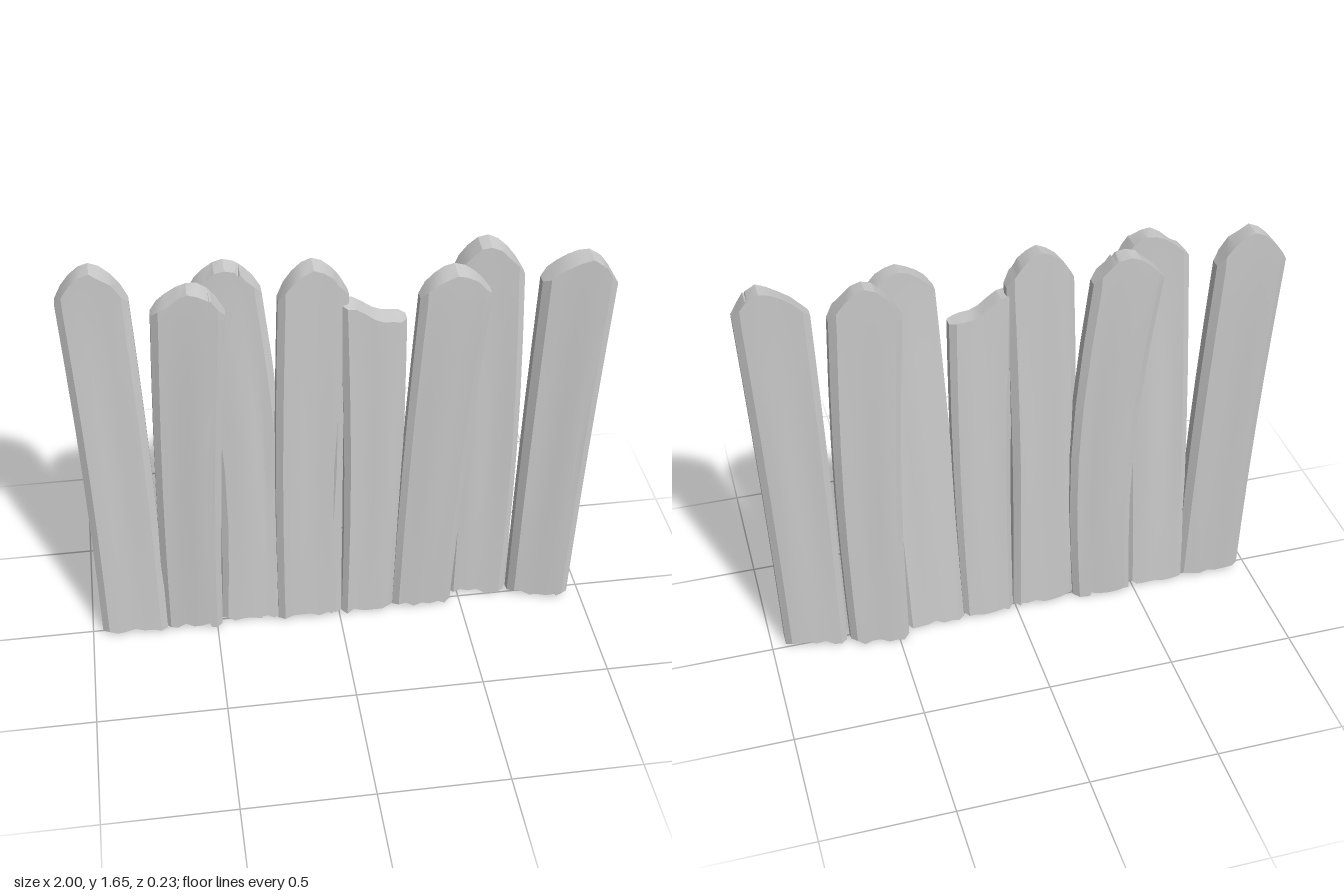
import * as THREE from 'three';
import { toCreasedNormals } from 'three/addons/utils/BufferGeometryUtils.js';

// x: left edge at foot and shoulder, bow: sideways bend at mid height, w: width at foot and shoulder,
// z: centre depth at foot and shoulder, yaw: depth change across the width,
// peak: place (0 to 1 across) and height of the tip; a plank without a peak is broken off
const PLANKS = [
  { x: [-0.96, -1.0], bow: 0.01, w: [0.26, 0.26], z: [0, -0.065], yaw: 0.02, peak: [0.5, 1.66] },
  { x: [-0.71, -0.67], bow: -0.01, w: [0.23, 0.26], z: [0, 0.062], yaw: 0.03, peak: [0.6, 1.63], crack: 0.8 },
  { x: [-0.48, -0.53], bow: 0.045, w: [0.235, 0.26], z: [-0.01, -0.068], yaw: 0.02, peak: [0.52, 1.635], crack: 0.7 },
  { x: [-0.25, -0.22], bow: -0.01, w: [0.26, 0.255], z: [0.01, 0.01], yaw: -0.01, peak: [0.5, 1.66], crack: 0.85 },
  { x: [0.01, 0], bow: 0.013, w: [0.21, 0.245], z: [0.005, 0.015], yaw: -0.01 },
  { x: [0.22, 0.28], bow: -0.008, w: [0.24, 0.26], z: [0, 0.067], yaw: 0 , peak: [0.5, 1.63] },
  { x: [0.46, 0.43], bow: 0.018, w: [0.23, 0.255], z: [-0.04, -0.062], yaw: 0.03, peak: [0.48, 1.66] },
  { x: [0.705, 0.735], bow: -0.005, w: [0.24, 0.265], z: [0.01, 0.04], yaw: 0.045, peak: [0.62, 1.635], crack: 0.8 },
];
const HALF = 0.039;
const SHOULDER = 1.53;
const { lerp } = THREE.MathUtils;

function seeded(seed) {
  let s = seed * 7919 + 17;
  return () => (s = (s * 16807) % 2147483647) / 2147483647;
}

// height of the upper end: a rounded point, or a ragged downward slope
function topHeight(p, u) {
  if (!p.peak) return 1.5 - 0.1 * u + 0.012 * Math.sin(8 * u);
  const [at, height] = p.peak;
  const d = u < at ? (at - u) / at : (u - at) / (1 - at);
  return height - (height - SHOULDER) * d ** 1.8;
}

function plankGeometry(p, index) {
  const rand = seeded(index + 1);
  const us = [0, 0.1, 0.22, 0.36, 0.5, 0.64, 0.78, 0.9, 1];
  if (p.crack) {
    us.push(p.crack - 0.012, p.crack + 0.012);
    us.sort((a, b) => a - b);
  }
  const n = us.length;
  const neck = p.peak ? SHOULDER - 0.02 : 1.38;
  const rows = [0, 0.25, 0.5, 0.75, 1, 1.25, neck, SHOULDER];
  const last = rows.length - 1;
  const foot = us.map(() => [0.01 + rand() * 0.025, 0.005 + rand() * 0.025]);
  const chip = us.map(() => rand() * 0.014);

  // point on the front (side 0) or back (side 1) face
  function point(r, c, side) {
    const u = us[c], end = c === 0 || c === n - 1;
    let y = rows[r];
    if (r === 0) y = foot[c][side];
    if (r === last) y = topHeight(p, u) - (side === 0 && !end ? chip[c] : 0);
    const t = Math.min(y / SHOULDER, 1);
    const left = lerp(...p.x, t) + p.bow * Math.sin(t * Math.PI);
    const z = lerp(...p.z, t) + p.yaw * (u - 0.5);
    let half = HALF * 0.5;
    if (!end) half = HALF + 0.004 * Math.sin(u * 9 + index * 2) * Math.sin(t * 3);
    // narrow split in the front face
    if (r === 3 && side === 0 && u === p.crack + 0.012) half -= 0.006;
    return [left + lerp(...p.w, t) * u, y, z + (side === 0 ? half : -half)];
  }

  const pos = [];
  const quad = (a, b, c, d) => pos.push(...a, ...b, ...c, ...a, ...c, ...d);
  for (let c = 0; c < n - 1; c++) {
    // broad front and back faces
    for (let r = 0; r < last; r++) {
      quad(point(r, c, 0), point(r, c + 1, 0), point(r + 1, c + 1, 0), point(r + 1, c, 0));
      quad(point(r, c + 1, 1), point(r, c, 1), point(r + 1, c, 1), point(r + 1, c + 1, 1));
    }
    // upper and lower ends
    quad(point(last, c, 0), point(last, c + 1, 0), point(last, c + 1, 1), point(last, c, 1));
    quad(point(0, c, 1), point(0, c + 1, 1), point(0, c + 1, 0), point(0, c, 0));
  }
  // narrow side faces
  for (let r = 0; r < last; r++) {
    quad(point(r, 0, 1), point(r, 0, 0), point(r + 1, 0, 0), point(r + 1, 0, 1));
    quad(point(r, n - 1, 0), point(r, n - 1, 1), point(r + 1, n - 1, 1), point(r + 1, n - 1, 0));
  }
  const geometry = new THREE.BufferGeometry();
  geometry.setAttribute('position', new THREE.Float32BufferAttribute(pos, 3));
  return toCreasedNormals(geometry, 0.4);
}

export function createModel() {
  const group = new THREE.Group();
  group.name = 'plankFence';
  const material = new THREE.MeshStandardMaterial({ color: 0xcccccc });
  PLANKS.forEach((p, i) => {
    const mesh = new THREE.Mesh(plankGeometry(p, i), material);
    mesh.name = p.peak ? `plank${i + 1}` : 'brokenPlank';
    group.add(mesh);
  });
  return group;
}
